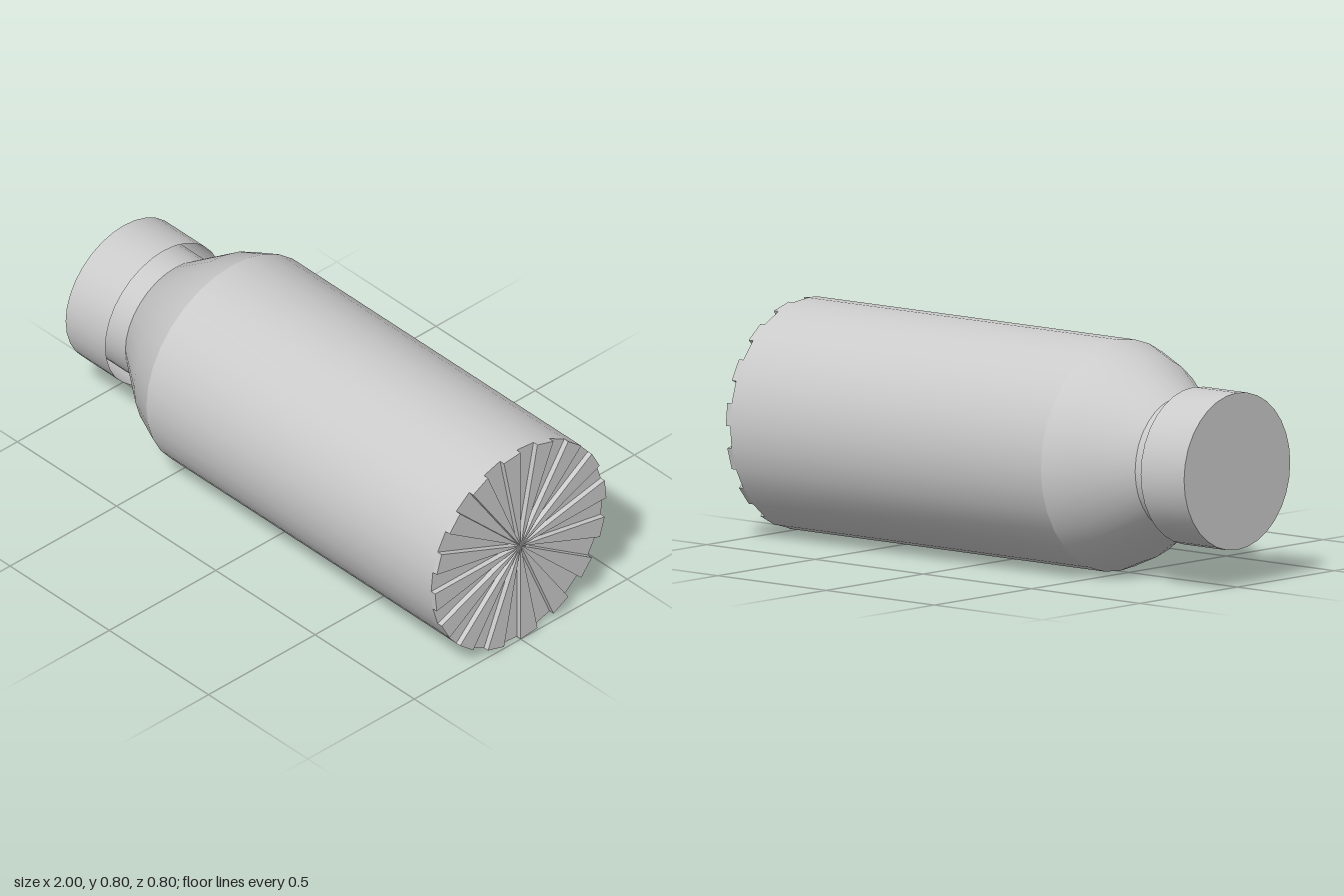
import * as THREE from 'three';
import { toCreasedNormals } from 'three/addons/utils/BufferGeometryUtils.js';

const SIDES = 32;
const R = 0.402; // body radius
const STEP = (Math.PI * 2) / SIDES;

// Turned part lying along x; profile points are [radius, x]
function turned(name, profile, side = THREE.FrontSide) {
  const points = profile.map(([r, x]) => new THREE.Vector2(r, x));
  const geo = new THREE.LatheGeometry(points, SIDES);
  geo.rotateZ(-Math.PI / 2);
  const mat = new THREE.MeshStandardMaterial({ color: 0xcccccc, side });
  const mesh = new THREE.Mesh(toCreasedNormals(geo, 0.35), mat);
  mesh.name = name;
  return mesh;
}

export function createModel() {
  const group = new THREE.Group();
  group.name = 'bottle';

  // Body with sloping shoulder and a neck that runs into the cap
  group.add(turned('body', [
    [0, -0.99], [0.235, -0.99], [0.235, -0.74], [0.357, -0.565],
    [R, -0.455], [R, 0.98], [0, 0.98],
  ]));

  // Hollow cap, open towards the body
  group.add(turned('cap', [[0, -1], [0.273, -1], [0.273, -0.8]], THREE.DoubleSide));

  // Raised wedges on the base, every second sector
  const wedges = [];
  for (let i = 1; i < SIDES; i += 2) {
    const corner = (a) => new THREE.Vector2(-R * Math.cos(a), R * Math.sin(a));
    wedges.push(new THREE.Shape([new THREE.Vector2(0, 0), corner(i * STEP), corner((i + 1) * STEP)]));
  }
  const wedgeGeo = new THREE.ExtrudeGeometry(wedges, { depth: 0.02, bevelEnabled: false });
  wedgeGeo.rotateY(Math.PI / 2);
  wedgeGeo.translate(0.98, 0, 0);
  const ridges = new THREE.Mesh(wedgeGeo, new THREE.MeshStandardMaterial({ color: 0xcccccc }));
  ridges.name = 'baseRidges';
  group.add(ridges);

  group.children.forEach((part) => { part.position.y = R; });
  return group;
}
